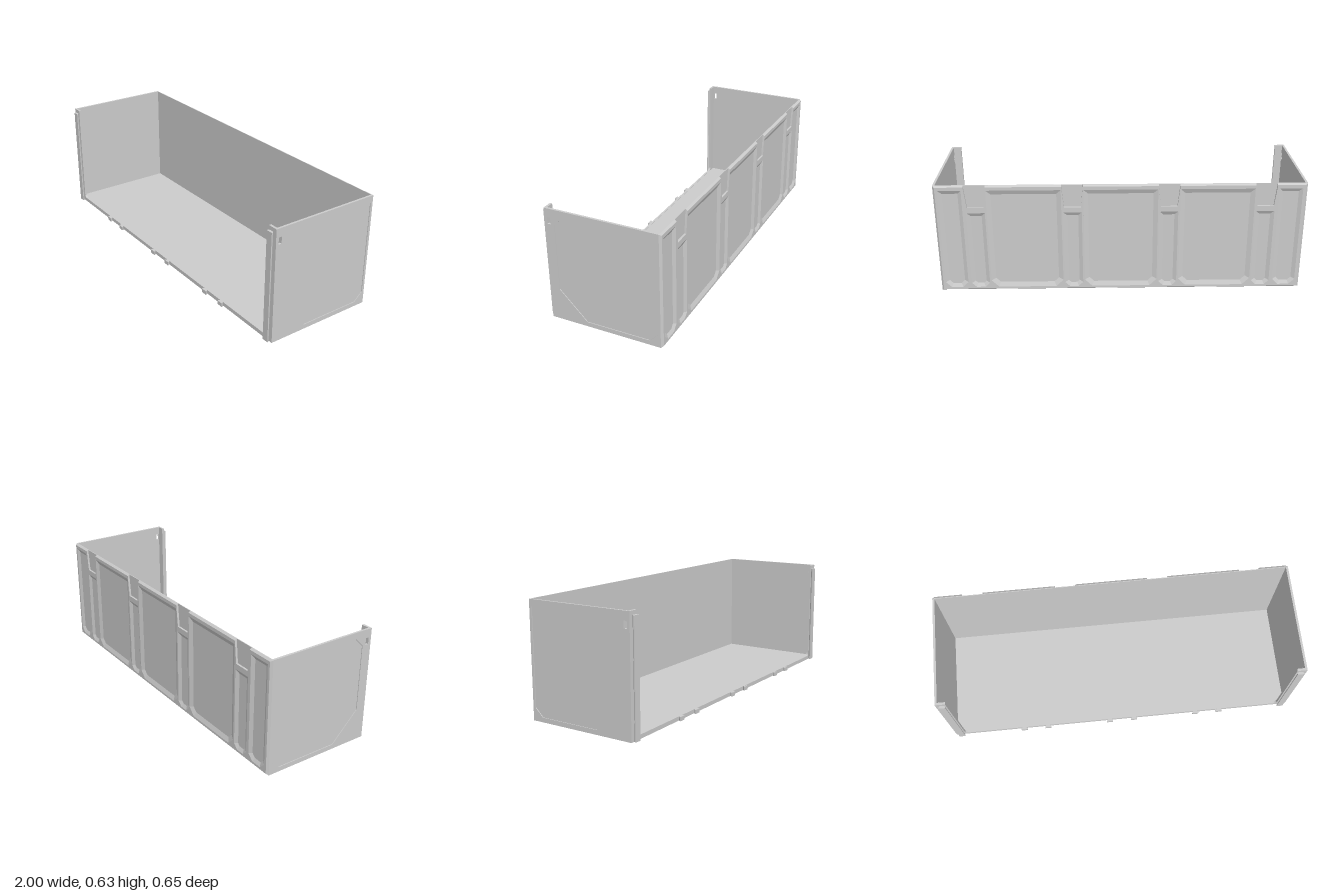
import * as THREE from 'three';

const H = 0.627, FRONT = 0.309, BACK = -0.323, PLATE = -0.312, INNER = -0.308;
const mat = new THREE.MeshStandardMaterial({ color: 0xcccccc, flatShading: true, side: THREE.DoubleSide });

const shapeOf = (pts) => new THREE.Shape(pts.map(([x, y]) => new THREE.Vector2(x, y)));
const extrude = (shape, depth) => new THREE.ExtrudeGeometry(shape, { depth, bevelEnabled: false, curveSegments: 4 });

function add(group, name, geometry) {
  const mesh = new THREE.Mesh(geometry, mat);
  mesh.name = name;
  group.add(mesh);
  return mesh;
}

function box(group, name, x0, x1, y0, y1, z0, z1) {
  const g = new THREE.BoxGeometry(x1 - x0, y1 - y0, z1 - z0);
  g.translate((x0 + x1) / 2, (y0 + y1) / 2, (z0 + z1) / 2);
  return add(group, name, g);
}

// Pocket outline with cut lower corners; inset shrinks it evenly
function pocketOutline(cx, w, y0, y1, inset) {
  const a = w / 2 - inset, b = y0 + inset, t = y1 - inset;
  const c = Math.min(0.04, w * 0.25) - inset * 0.58;
  return [[cx - a + c, b], [cx + a - c, b], [cx + a, b + c], [cx + a, t], [cx - a, t], [cx - a, b + c]];
}

// Sloped band joining an outline on one plane to an outline on another
function slopedBand(outer, inner, zOuter, zInner) {
  const pos = [], idx = [], n = outer.length;
  outer.forEach(([x, y], i) => {
    pos.push(x, y, zOuter, inner[i][0], inner[i][1], zInner);
    const a = 2 * i, b = 2 * ((i + 1) % n);
    idx.push(a, a + 1, b, b, a + 1, b + 1);
  });
  const g = new THREE.BufferGeometry();
  g.setAttribute('position', new THREE.Float32BufferAttribute(pos, 3));
  g.setIndex(idx);
  const flat = g.toNonIndexed();
  flat.computeVertexNormals();
  return flat;
}

function buildBack(group) {
  const slots = [-0.78, -0.26, 0.26, 0.78];
  // Pockets: [centre x, width, bottom, top]
  const pockets = [];
  for (const x of [-0.52, 0, 0.52]) pockets.push([x, 0.4, 0.02, 0.6]);
  for (const x of [-0.912, 0.912]) pockets.push([x, 0.125, 0.02, 0.6]);
  for (const x of slots) pockets.push([x, 0.1, 0.02, 0.47]);

  // Outer frame with open slots along the top edge
  const outline = [[-1, 0], [1, 0], [1, H]];
  for (const x of [...slots].reverse())
    outline.push([x + 0.058, H], [x + 0.045, 0.5], [x - 0.045, 0.5], [x - 0.058, H]);
  outline.push([-1, H]);
  const frame = shapeOf(outline);
  for (const [x, w, y0, y1] of pockets)
    frame.holes.push(shapeOf(pocketOutline(x, w, y0, y1, 0)));
  const g = extrude(frame, PLATE - BACK);
  g.translate(0, 0, BACK);

  // Chamfer the rim of the rear face
  const p = g.attributes.position;
  for (let i = 0; i < p.count; i++) {
    if (p.getZ(i) > BACK + 0.001) continue;
    if (Math.abs(p.getX(i)) > 0.995) p.setX(i, Math.sign(p.getX(i)) * 0.989);
    if (p.getY(i) < 0.001) p.setY(i, 0.008);
    if (p.getY(i) > H - 0.001) p.setY(i, H - 0.008);
  }
  g.computeVertexNormals();
  add(group, 'backFrame', g);
  box(group, 'backPlate', -1, 1, 0, H, PLATE, INNER);

  // Sloped pocket rims
  for (const [x, w, y0, y1] of pockets) {
    const inset = w > 0.2 ? 0.025 : 0.02;
    add(group, 'backPocketRim', slopedBand(
      pocketOutline(x, w, y0, y1, 0), pocketOutline(x, w, y0, y1, inset), BACK, PLATE - 0.0005));
  }
}

function buildSide(group, s) {
  const wall = [[FRONT, 0], [FRONT, H], [PLATE, H], [PLATE, 0]];
  const panel = [[0.255, 0.543], [0.208, 0.59], [-0.298, 0.59], [-0.298, 0.07],
    [-0.25, 0.025], [0.102, 0.025], [0.255, 0.178]];
  const window = [[0.275, 0.543], [0.293, 0.543], [0.293, 0.58], [0.275, 0.58]];
  // Outer layer is cut by the panel outline, inner layer closes it
  const layers = [
    ['sideFrame', [panel, window], 0.996, 0.004],
    ['sidePlate', [window], 0.988, 0.008],
  ];
  for (const [name, holes, x, depth] of layers) {
    const shape = shapeOf(wall.map(([z, y]) => [-z, y]));
    for (const h of holes) shape.holes.push(shapeOf(h.map(([z, y]) => [-z, y])));
    const g = extrude(shape, depth);
    g.rotateY(Math.PI / 2);
    g.translate(s > 0 ? x : -x - depth, 0, 0);
    add(group, name, g);
  }
}

// Dovetail key: narrow at the body, wide at its front
function dovetail(group, name, x, height) {
  const g = extrude(shapeOf([[-0.011, 0], [0.011, 0], [0.018, -0.008], [0.018, -0.014], [-0.018, -0.014], [-0.018, -0.008]]), height);
  g.rotateX(-Math.PI / 2);
  g.translate(x, 0, FRONT);
  add(group, name, g);
}

export function createModel() {
  const model = new THREE.Group();
  model.name = 'openBin';

  box(model, 'floor', -0.99, 0.99, 0, 0.02, PLATE, FRONT - 0.001);
  buildBack(model);
  for (const s of [-1, 1]) buildSide(model, s);

  // Front frame: two posts and a low sill with rounded inner corners
  const u = new THREE.Shape();
  u.moveTo(-1, 0);
  u.lineTo(1, 0);
  u.lineTo(1, H);
  u.lineTo(0.945, H);
  u.lineTo(0.945, 0.044);
  u.quadraticCurveTo(0.945, 0.022, 0.923, 0.022);
  u.lineTo(-0.923, 0.022);
  u.quadraticCurveTo(-0.945, 0.022, -0.945, 0.044);
  u.lineTo(-0.945, H);
  u.lineTo(-1, H);
  const frame = extrude(u, 0.013);
  frame.translate(0, 0, FRONT - 0.013);
  add(model, 'frontFrame', frame);

  // Connecting keys on the front
  for (const s of [-1, 1]) {
    dovetail(model, 'postKey', s * 0.966, 0.606);
    for (const x of [0.073, 0.447, 0.59]) dovetail(model, 'sillKey', s * x, 0.022);
  }
  return model;
}
